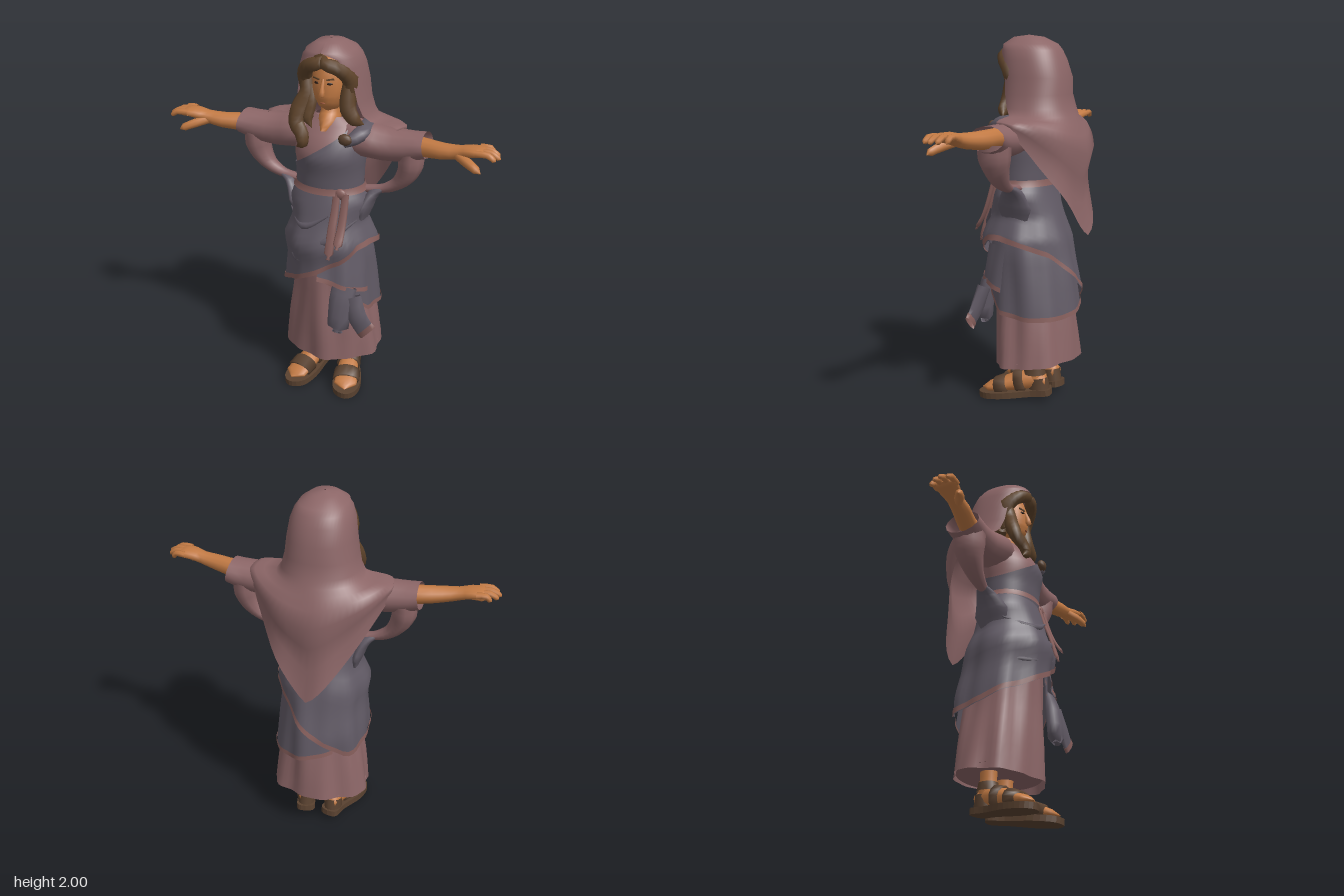
import * as THREE from 'three';

const mat = (name, color) => new THREE.MeshStandardMaterial({ name, color, side: THREE.DoubleSide });
const M = {
  mauve: mat('mauve cloth', 0x8c6667), slate: mat('slate cloth', 0x615a65), trim: mat('rose trim', 0x875f5c),
  skin: mat('skin', 0xc27a44), hair: mat('brown hair', 0x5e432a), leather: mat('leather', 0x5a4230),
  dark: mat('dark eye', 0x2c1c14), lip: mat('lip', 0x9c5638),
};
const rad = Math.PI / 180;

// Surface from a rule p(u, v) over a grid; v runs along the form, u around it
function grid(nu, nv, closed, p) {
  const pos = [], idx = [], w = closed ? nu : nu + 1;
  for (let j = 0; j <= nv; j++) for (let i = 0; i < w; i++) pos.push(...p(i / nu, j / nv, j));
  for (let j = 0; j < nv; j++) for (let i = 0; i < nu; i++) {
    const a = j * w + i, b = j * w + (i + 1) % w;
    idx.push(a, a + w, b, b, a + w, b + w);
  }
  const g = new THREE.BufferGeometry();
  g.setAttribute('position', new THREE.Float32BufferAttribute(pos, 3));
  g.setIndex(idx);
  g.computeVertexNormals();
  return g;
}

// Row of a table at key k, linearly interpolated
function look(t, k) {
  for (let i = 0; i < t.length - 1; i++) {
    const f = (k - t[i][0]) / (t[i + 1][0] - t[i][0]);
    if (f >= 0 && f <= 1) return t[i].map((v, n) => v + (t[i + 1][n] - v) * f);
  }
  return (k - t[0][0]) * (t[1][0] - t[0][0]) < 0 ? t[0] : t[t.length - 1];
}

// Limb or strand: rings [x, y, z, side radius, other radius] swept along a smooth path
function loft(rings, seg = 10, sub = 2, up = [0, 1, 0]) {
  const curve = new THREE.CatmullRomCurve3(rings.map(r => new THREE.Vector3(...r)));
  const n = (rings.length - 1) * sub, U = new THREE.Vector3(...up);
  return grid(seg, n, true, (u, v) => {
    const f = v * (rings.length - 1), i = Math.min(Math.floor(f + 1e-6), rings.length - 2), k = f - i;
    const ra = THREE.MathUtils.lerp(rings[i][3], rings[i + 1][3], k), rb = THREE.MathUtils.lerp(rings[i][4], rings[i + 1][4], k);
    const t = curve.getTangent(v), b = t.clone().cross(U).normalize(), nn = b.clone().cross(t);
    return curve.getPoint(v).addScaledVector(b, ra * Math.cos(u * 2 * Math.PI)).addScaledVector(nn, rb * Math.sin(u * 2 * Math.PI)).toArray();
  });
}
const Z = [0, 0, 1];

// Draped cloth: table rows are [y, x radius, z centre, z radius]; angle 0 is the front, 90 the left
function cloth(table, top, hem, off = 0, a0 = 0, a1 = 360, nv = 10, ripple = 1) {
  return grid(Math.round((a1 - a0) / 6), nv, a1 - a0 === 360, (u, v) => {
    const d = a0 + u * (a1 - a0), a = d * rad, y = THREE.MathUtils.lerp(top(d), hem(d), v);
    const [, rx, zc, rz] = look(table, y), w = ripple * THREE.MathUtils.clamp((1.2 - y) * 2, 0, 1);
    const r = 1 + w * (0.03 * Math.sin(6 * a + 4 * y) + 0.018 * Math.sin(11 * a + 1));
    return [Math.sin(a) * (rx * r + off), y, zc + Math.cos(a) * (rz * r + off)];
  });
}

function mirror(g) {
  const m = g.clone().scale(-1, 1, 1), ix = m.index.array;
  for (let i = 0; i < ix.length; i += 3) [ix[i], ix[i + 1]] = [ix[i + 1], ix[i]];
  m.computeVertexNormals();
  return m;
}

export function createModel() {
  const root = new THREE.Group();
  const add = (name, g, m) => { const o = new THREE.Mesh(g, m); o.name = name; root.add(o); };
  const pair = (name, g, m) => { add(name + 'Left', g, m); add(name + 'Right', mirror(g), m); };
  const at = y => () => y;

  // Long under skirt with a closed underside
  const under = [[0.9, 0.19, 0.03, 0.19], [0.6, 0.212, 0, 0.212], [0.4, 0.25, -0.01, 0.225], [0.22, 0.276, -0.02, 0.232]];
  const underHem = d => 0.222 - 0.022 * Math.cos(d * rad);
  add('underSkirt', cloth(under, at(0.9), underHem, 0, 0, 360, 10, 1.3), M.mauve);
  add('underSkirtBase', grid(48, 1, true, (u, v) => {
    const a = u * 2 * Math.PI, r = 1 - v;
    return [Math.sin(a) * 0.262 * r, 0.25, -0.02 + Math.cos(a) * 0.215 * r];
  }), M.mauve);

  // Second layer, seen on the left and back
  const lower = [[0.98, 0.19, 0.03, 0.19], [0.85, 0.222, 0.02, 0.222], [0.7, 0.236, 0.005, 0.236], [0.5, 0.255, -0.01, 0.25]];
  const lowHemKeys = [[0, 0.73], [40, 0.62], [65, 0.51], [100, 0.49], [150, 0.49], [210, 0.56]];
  const lowHem = d => look(lowHemKeys, d)[1];
  add('lowerDrape', cloth(lower, at(0.98), lowHem, 0, 0, 210), M.slate);
  add('lowerDrapeTrim', cloth(lower, d => lowHem(d) + 0.025, lowHem, 0.006, 0, 210, 1), M.trim);

  // Upper wrap with a spiralling hem
  const upper = [[1.23, 0.175, 0.05, 0.14], [1.15, 0.222, 0.05, 0.165], [1.04, 0.205, 0.045, 0.2], [0.92, 0.255, 0.045, 0.245],
    [0.8, 0.242, 0.02, 0.245], [0.65, 0.258, 0, 0.262], [0.5, 0.265, 0, 0.265]];
  const upHemKeys = [[0, 0.76], [30, 0.83], [55, 0.91], [75, 0.92], [100, 0.9], [140, 0.83], [180, 0.67], [225, 0.54], [270, 0.58], [320, 0.67], [360, 0.76]];
  const upHem = d => look(upHemKeys, d)[1];
  add('upperWrap', cloth(upper, at(1.23), upHem, 0, 0, 360, 14, 1.2), M.slate);
  add('upperWrapTrim', cloth(upper, d => upHem(d) + 0.03, upHem, 0.007, 0, 360, 1, 1.2), M.trim);
  pair('hipFold', loft([[0.3, 1.22, 0.02, 0.012, 0.025], [0.24, 1.185, 0.02, 0.03, 0.06], [0.2, 1.1, 0.03, 0.03, 0.1], [0.18, 0.98, 0.04, 0.008, 0.06]], 12, 4, Z), M.slate);
  for (const [i, p] of [[[-0.15, 0.9, 0.22], [0.05, 0.96, 0.255], [0.2, 1.08, 0.17]], [[-0.21, 1.06, 0.1], [-0.08, 1.02, 0.23], [0.06, 1.1, 0.23]],
    [[-0.23, 0.82, 0.1], [-0.1, 0.82, 0.235], [0.08, 0.88, 0.26]]].entries())
    add('wrapFold' + i, loft(p.map((q, k) => [...q, k === 1 ? 0.02 : 0.004, k === 1 ? 0.022 : 0.004]), 8, 5), M.slate);

  // Flared front panel and hanging tail at the front left
  const flare = [[0.9, 0.22, 0.02, 0.225], [0.75, 0.24, 0.03, 0.24], [0.62, 0.25, 0.03, 0.268]];
  const flareHem = d => 0.735 - 0.1 * d / 72;
  add('frontPanel', cloth(flare, at(0.88), flareHem, 0, 3, 75, 6, 1.5), M.slate);
  add('frontPanelTrim', cloth(flare, d => flareHem(d) + 0.025, flareHem, 0.006, 3, 75, 1, 1.5), M.trim);
  add('tailFold', loft([[0.15, 0.7, 0.215, 0.07, 0.02], [0.135, 0.6, 0.235, 0.068, 0.04], [0.125, 0.46, 0.25, 0.062, 0.04], [0.125, 0.46, 0.25, 0, 0]], 10, 2, Z), M.slate);
  add('tailCorner', loft([[0.19, 0.64, 0.22, 0.06, 0.03], [0.23, 0.54, 0.24, 0.06, 0.025], [0.285, 0.47, 0.25, 0.058, 0.012]], 8, 2, Z), M.slate);
  add('tailTrim', loft([[0.28, 0.478, 0.25, 0.061, 0.016], [0.302, 0.458, 0.25, 0.06, 0.016]], 8, 1, Z), M.trim);

  // Bodice and the wrap crossing the left shoulder
  const body = [[1.6, 0.085, 0.03, 0.07], [1.56, 0.155, 0.03, 0.1], [1.5, 0.185, 0.035, 0.15], [1.41, 0.19, 0.055, 0.165], [1.31, 0.178, 0.05, 0.148], [1.19, 0.175, 0.05, 0.138]];
  add('bodice', cloth(body, at(1.6), at(1.19)), M.mauve);
  add('chestWrap', cloth(body, d => 1.455 + 0.13 * Math.sin(d * rad), at(1.19), 0.009), M.slate);
  add('shoulderGather', loft([[0.12, 1.49, 0.17, 0.02, 0.02], [0.17, 1.52, 0.145, 0.045, 0.035], [0.2, 1.545, 0.09, 0.045, 0.04], [0.19, 1.55, 0.0, 0.045, 0.04], [0.17, 1.52, -0.08, 0.01, 0.01]]), M.slate);
  add('brooch', new THREE.SphereGeometry(0.034, 10, 8).scale(1.1, 0.9, 0.7).translate(0.135, 1.522, 0.185), M.leather);

  // Belt, knot and ribbons
  add('belt', cloth(upper, at(1.24), at(1.205), 0.014, 0, 360, 2), M.trim);
  add('beltKnot', new THREE.SphereGeometry(0.03, 10, 8).scale(1.1, 1, 0.6).translate(0.11, 1.215, 0.18), M.trim);
  const ribbon = (x, end) => loft([[x, 1.22, 0.185, 0.02, 0.008], [x, 1.12, 0.213, 0.022, 0.008], [x - 0.003, 1.03, 0.247, 0.024, 0.008],
    [x - 0.005, end, 0.283, 0.026, 0.008], [x - 0.005, end, 0.283, 0, 0]], 8, 2, Z);
  add('ribbonLong', ribbon(0.09, 0.91), M.trim);
  add('ribbonShort', ribbon(0.14, 0.97), M.trim);

  // Sleeves with hanging loops
  pair('sleeve', loft([[0.06, 1.5, 0.03, 0.09, 0.085], [0.18, 1.49, 0.03, 0.12, 0.095], [0.3, 1.47, 0.02, 0.105, 0.09], [0.42, 1.475, 0.02, 0.097, 0.082], [0.52, 1.492, 0.02, 0.1, 0.066]], 14), M.mauve);
  pair('sleeveLoop', loft([[0.44, 1.46, 0.02, 0.066, 0.095], [0.437, 1.38, 0.02, 0.068, 0.088], [0.414, 1.315, 0.02, 0.055, 0.068], [0.365, 1.255, 0.02, 0.036, 0.048], [0.285, 1.215, 0.02, 0.024, 0.03], [0.17, 1.2, 0.02, 0.018, 0.03]], 10, 3, Z), M.mauve);

  // Arms and hands
  pair('arm', loft([[0.36, 1.49, 0.03, 0.05, 0.05], [0.5, 1.487, 0.04, 0.052, 0.05], [0.62, 1.492, 0.07, 0.05, 0.042], [0.71, 1.505, 0.08, 0.042, 0.034],
    [0.77, 1.52, 0.085, 0.058, 0.03], [0.83, 1.525, 0.088, 0.068, 0.022], [0.85, 1.522, 0.088, 0, 0]], 12), M.skin);
  [[0.033, 0.88], [0.068, 0.91], [0.104, 0.92], [0.14, 0.905]].forEach(([z, x], i) => pair('finger' + i, loft([[0.8, 1.528, z, 0.018, 0.017],
    [(0.8 + x) / 2 + 0.01, 1.53, z + 0.002, 0.018, 0.016], [x - 0.01, 1.51, z + 0.004, 0.014, 0.013], [x, 1.505, z + 0.004, 0, 0]], 7), M.skin));
  pair('thumb', loft([[0.69, 1.495, 0.09, 0.024, 0.024], [0.76, 1.475, 0.135, 0.026, 0.025], [0.815, 1.453, 0.163, 0.02, 0.021], [0.84, 1.44, 0.17, 0, 0]], 8), M.skin);

  // Head, neck and face
  add('neck', loft([[0, 1.7, 0.03, 0.055, 0.055], [0, 1.62, 0.04, 0.052, 0.055], [0, 1.575, 0.055, 0.06, 0.08], [0, 1.53, 0.06, 0.03, 0.108]], 12, 2, Z), M.skin);
  add('head', loft([[0, 1.93, 0.03, 0, 0], [0, 1.89, 0.04, 0.075, 0.085], [0, 1.82, 0.05, 0.092, 0.1], [0, 1.75, 0.055, 0.092, 0.1],
    [0, 1.69, 0.06, 0.077, 0.092], [0, 1.645, 0.075, 0.046, 0.068], [0, 1.625, 0.085, 0, 0]], 16, 2, Z), M.skin);
  add('nose', loft([[0, 1.815, 0.145, 0.008, 0.006], [0, 1.77, 0.158, 0.011, 0.014], [0, 1.735, 0.165, 0.018, 0.019], [0, 1.722, 0.155, 0, 0]], 8, 2, Z), M.skin);
  pair('eye', new THREE.SphereGeometry(0.015, 8, 6).scale(1, 0.4, 0.3).rotateY(0.4).translate(0.037, 1.792, 0.146), M.dark);
  pair('brow', new THREE.BoxGeometry(0.04, 0.007, 0.008).rotateZ(0.12).rotateY(0.4).translate(0.038, 1.814, 0.143), M.hair);
  add('mouth', new THREE.SphereGeometry(0.016, 8, 6).scale(1, 0.25, 0.3).translate(0, 1.688, 0.15), M.lip);

  // Hair: back mass and wavy locks
  add('hairMass', new THREE.SphereGeometry(1, 16, 12).scale(0.15, 0.165, 0.13).translate(0, 1.78, -0.02), M.hair);
  pair('hairParting', loft([[0, 1.925, 0.13, 0.01, 0.02], [0.02, 1.9, 0.165, 0.034, 0.034], [0.085, 1.872, 0.14, 0.038, 0.038], [0.122, 1.81, 0.085, 0.044, 0.045], [0.116, 1.74, 0.07, 0.042, 0.045], [0.115, 1.66, 0.065, 0.03, 0.035]], 9, 3, Z), M.hair);
  add('leftLock', loft([[0.115, 1.8, 0.075, 0.03, 0.04], [0.112, 1.72, 0.09, 0.042, 0.04], [0.12, 1.655, 0.105, 0.046, 0.035], [0.16, 1.605, 0.11, 0.036, 0.03], [0.205, 1.58, 0.09, 0, 0]], 9, 3, Z), M.hair);
  add('rightLock', loft([[-0.115, 1.8, 0.08, 0.035, 0.04], [-0.105, 1.72, 0.1, 0.046, 0.04], [-0.135, 1.64, 0.13, 0.052, 0.04], [-0.145, 1.57, 0.16, 0.044, 0.035],
    [-0.105, 1.52, 0.185, 0.038, 0.03], [-0.1, 1.475, 0.195, 0.032, 0.025], [-0.135, 1.45, 0.19, 0, 0]], 9, 3, Z), M.hair);
  add('rightInnerLock', loft([[-0.09, 1.76, 0.09, 0.03, 0.03], [-0.08, 1.68, 0.115, 0.032, 0.03], [-0.09, 1.6, 0.14, 0.032, 0.03], [-0.06, 1.55, 0.155, 0, 0]], 8, 3, Z), M.hair);

  // Hood: rows [y, x radius, z centre, z radius, half angle of the opening], then cape rows [step, x radius, z at back]
  const hood = [[2, 0.005, 0.035, 0.005, 0], [1.99, 0.07, 0.035, 0.08, 0], [1.952, 0.125, 0.025, 0.148, 0], [1.92, 0.147, 0.015, 0.162, 32], [1.87, 0.165, 0.005, 0.175, 46],
    [1.78, 0.178, -0.01, 0.19, 56], [1.69, 0.19, -0.01, 0.19, 60], [1.62, 0.206, -0.02, 0.198, 65]];
  const cape = [[0.06, 0.235, -0.235], [0.13, 0.3, -0.255], [0.22, 0.355, -0.28], [0.36, 0.385, -0.312], [0.55, 0.385, -0.28], [0.75, 0.38, -0.28], [1, 0.38, -0.315]];
  const pw = (v, e) => Math.sign(v) * Math.abs(v) ** e;
  add('veil', grid(40, hood.length + cape.length - 1, false, (u, v, j) => {
    const h = hood[j], open = h ? h[4] : 70, a = (open + u * (360 - 2 * open)) * rad, s = Math.sin(a), c = Math.cos(a);
    if (h) return [h[1] * pw(s, 0.9), h[0], h[2] + h[3] * pw(c, 0.85)];
    const [t, rx, zb] = cape[j - hood.length], front = Math.max(0, c), low = 0.94 + 0.56 * Math.abs(s) ** 1.3 + 0.2 * front;
    const back = Math.max(0, -c) ** (1.1 + 0.9 * t), fold = 0.01 * Math.sin(9 * a) * t;
    return [rx * s, THREE.MathUtils.lerp(1.62 - 0.035 * Math.abs(s), low, t), -0.05 + 0.28 * front + (zb + 0.05) * back + fold * back];
  }), M.mauve);

  // Feet and sandals, splayed and tipped slightly onto the toes
  const foot = [[-0.12, 0, 0, 0.08], [-0.11, 0.04, 0.035, 0.08], [-0.04, 0.048, 0.055, 0.09], [0.05, 0.055, 0.052, 0.08], [0.14, 0.066, 0.036, 0.065], [0.21, 0.064, 0.024, 0.055], [0.255, 0, 0, 0.05]];
  const slice = (z, o = 0) => { const [, a, b, y] = look(foot, z); return [0, y, z, a + o, b + o]; };
  const place = g => g.rotateX(0.09).rotateY(0.25).translate(0.1, 0.024, 0);
  pair('foot', place(loft(foot.map(f => slice(f[0])), 12)), M.skin);
  pair('ankle', place(loft([[0, 0.32, -0.06, 0.05, 0.05], [0, 0.19, -0.055, 0.042, 0.046], [0, 0.09, -0.05, 0.046, 0.055]], 12, 2, Z)), M.skin);
  const sole = new THREE.Shape(new THREE.SplineCurve([[0, -0.14], [0.05, -0.12], [0.054, -0.02], [0.08, 0.12], [0.065, 0.23], [0.005, 0.275], [-0.065, 0.23], [-0.078, 0.12], [-0.052, -0.02], [-0.05, -0.12], [0, -0.14]]
    .map(p => new THREE.Vector2(p[0], -p[1]))).getPoints(36));
  const soleGeo = new THREE.ExtrudeGeometry(sole, { depth: 0.034, bevelEnabled: false }).rotateX(-Math.PI / 2);
  soleGeo.setIndex([...Array(soleGeo.attributes.position.count).keys()]);
  pair('sandalSole', place(soleGeo), M.leather);
  [[0.01, 0.06], [0.11, 0.175]].forEach(([a, b], i) => pair('sandalStrap' + i, place(loft([slice(a, 0), slice(a, 0.012), slice(b, 0.012), slice(b, 0)], 12, 1)), M.leather));
  pair('sandalHeel', place(loft([[0, 0.1, -0.07, 0.05, 0.054], [0, 0.03, -0.07, 0.05, 0.06]], 12, 1, Z)), M.leather);
  pair('sandalAnkleBand', place(loft([[0, 0.165, -0.055, 0.048, 0.054], [0, 0.12, -0.052, 0.054, 0.064]], 12, 1, Z)), M.leather);
  return root;
}
